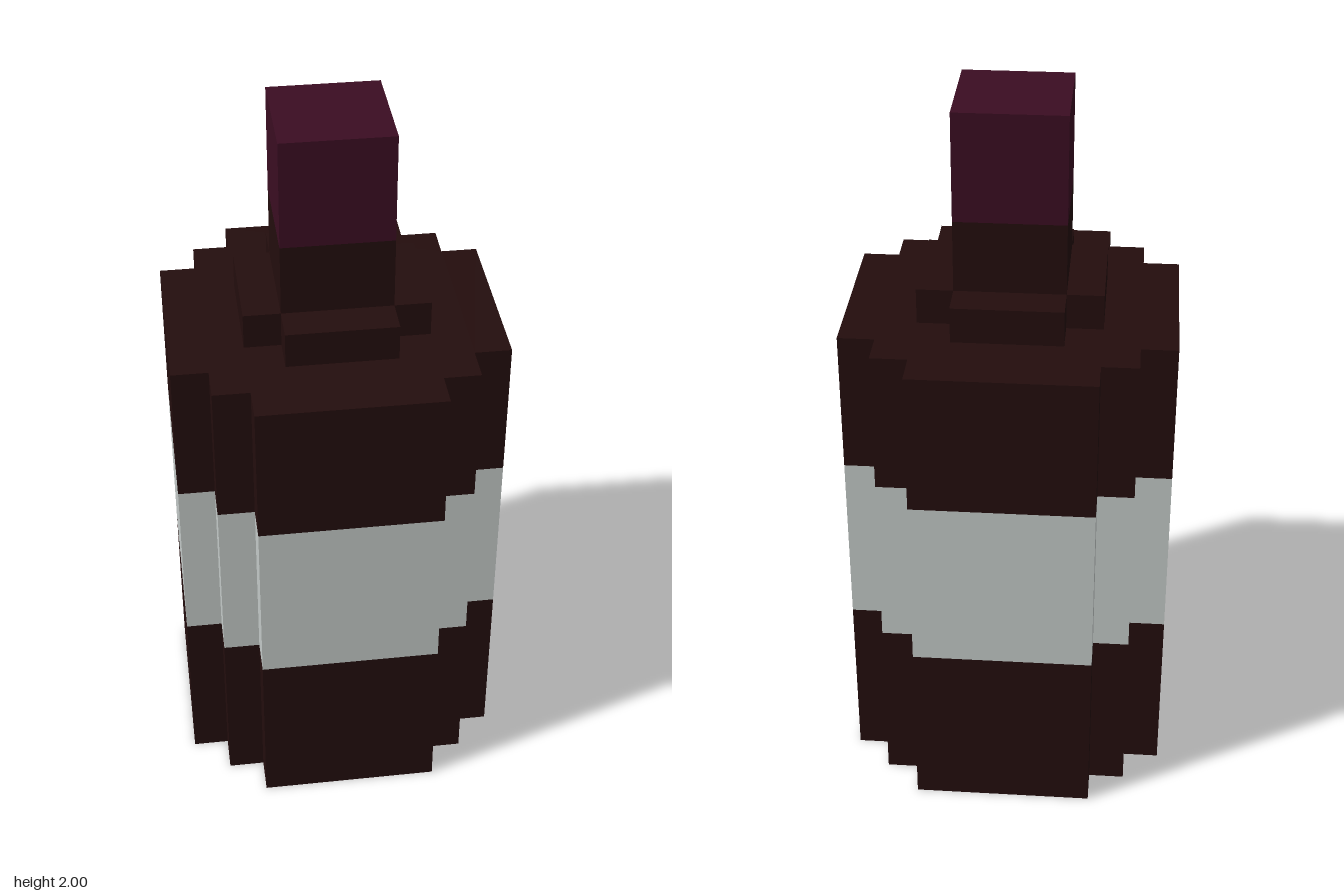
import * as THREE from 'three';

const material = (name, color) => {
  const m = new THREE.MeshStandardMaterial({ color });
  m.name = name;
  return m;
};

// Mirrors one quarter's stepped corners [x, z] into a closed, counter-clockwise outline.
function steppedOutline(corners) {
  const back = [...corners].reverse();
  return new THREE.Shape([
    ...corners.map(([x, z]) => new THREE.Vector2(x, z)),
    ...back.map(([x, z]) => new THREE.Vector2(-x, z)),
    ...corners.map(([x, z]) => new THREE.Vector2(-x, -z)),
    ...back.map(([x, z]) => new THREE.Vector2(x, -z)),
  ]);
}

export function createModel() {
  const glass = material('dark glass', 0x230d0d);
  const paper = material('pale label', 0xc4cac8);
  const foil = material('wine cap', 0x3b0d22);

  const bodyOutline = steppedOutline([
    [0.45, 0.25], [0.35, 0.25], [0.35, 0.35], [0.25, 0.35], [0.25, 0.45],
  ]);
  const collarOutline = steppedOutline([[0.25, 0.15], [0.15, 0.15], [0.15, 0.25]]);
  const neckOutline = steppedOutline([[0.15, 0.15]]);

  const group = new THREE.Group();
  group.name = 'bottle';

  // Stacked upright sections: name, outline, bottom, top, material
  const sections = [
    ['lowerBody', bodyOutline, 0, 0.5, glass],
    ['label', bodyOutline, 0.5, 1, paper],
    ['upperBody', bodyOutline, 1, 1.4, glass],
    ['collar', collarOutline, 1.4, 1.5, glass],
    ['neck', neckOutline, 1.5, 1.7, glass],
    ['cap', neckOutline, 1.7, 2, foil],
  ];
  for (const [name, outline, bottom, top, mat] of sections) {
    const geometry = new THREE.ExtrudeGeometry(outline, { depth: top - bottom, bevelEnabled: false });
    geometry.rotateX(-Math.PI / 2);
    const mesh = new THREE.Mesh(geometry, mat);
    mesh.name = name;
    mesh.position.y = bottom;
    group.add(mesh);
  }
  return group;
}
